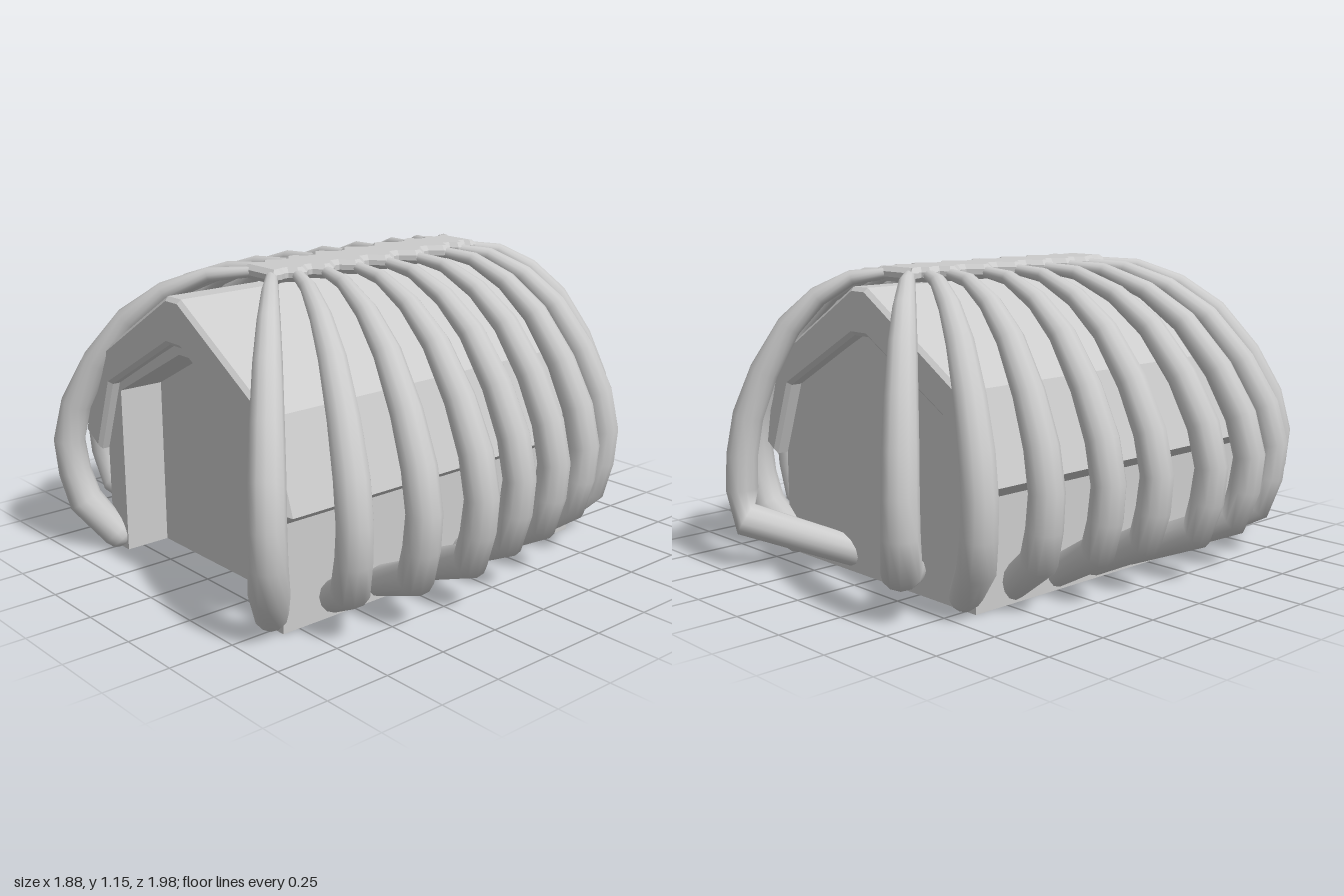
import * as THREE from 'three';

const material = new THREE.MeshStandardMaterial({ color: 0xcccccc });

function addMesh(parent, name, geometry) {
  const mesh = new THREE.Mesh(geometry, material);
  mesh.name = name;
  parent.add(mesh);
  return mesh;
}

// Closed shape from its right half, mirrored in x
function mirroredShape(half) {
  const left = half.map(([x, y]) => [-x, y]).reverse();
  return new THREE.Shape([...half, ...left].map(([x, y]) => new THREE.Vector2(x, y)));
}

function extrudeZ(shape, z0, z1, bevel = 0) {
  const geometry = new THREE.ExtrudeGeometry(shape, {
    depth: z1 - z0 - 2 * bevel, bevelEnabled: bevel > 0, bevelSize: bevel,
    bevelThickness: bevel, bevelOffset: -bevel, bevelSegments: 1,
  });
  return geometry.translate(0, 0, z0 + bevel);
}

// Rib profile: reach (0 at spine, 1 at widest), height, radius
const RIB_PROFILE = [
  [0, 1.135, 0.02], [0.22, 1.12, 0.028], [0.45, 1.05, 0.038], [0.65, 0.94, 0.047],
  [0.83, 0.77, 0.054], [0.95, 0.6, 0.059], [1, 0.45, 0.06], [0.98, 0.32, 0.062], [0.93, 0.2, 0.066],
];

// Rib: spine x, z; widest x, z; foot x; extra outward lean of the lower part
const RIBS = [
  [0.07, -0.53, 0.47, -0.91, 0.14, 0.22],
  [0.08, -0.45, 0.655, -0.725, 0.5, 0],
  [0.09, -0.36, 0.74, -0.5, 0.52, 0],
  [0.1, -0.2, 0.8, -0.26, 0.52, 0],
  [0.1, -0.04, 0.83, -0.04, 0.52, 0],
  [0.1, 0.11, 0.88, 0.205, 0.52, 0],
  [0.09, 0.25, 0.86, 0.46, 0.52, 0],
  [0.08, 0.37, 0.79, 0.705, 0.52, 0],
  [0.06, 0.47, 0.635, 0.945, 0.5, 0],
];

// Sweeps a tapering oval along the profile, in the upright plane of the rib
function ribGeometry([x0, z0, x1, z1, footX, lean], side) {
  const length = Math.hypot(x1 - x0, z1 - z0);
  const dir = new THREE.Vector3(side * (x1 - x0), 0, z1 - z0).divideScalar(length);
  const up = new THREE.Vector3(0, 1, 0);
  const across = dir.clone().cross(up);
  const path = RIB_PROFILE.map(([t, y, r]) =>
    [(t + lean * Math.max(0, 0.45 - y)) * length, y, r]);

  // Rounded foot
  const elbow = path[path.length - 1];
  const foot = [(footX - x0) / (x1 - x0) * length, 0.068];
  const run = Math.hypot(foot[0] - elbow[0], foot[1] - elbow[1]);
  const ux = (foot[0] - elbow[0]) / run, uy = (foot[1] - elbow[1]) / run, r = 0.056;
  for (const [along, size] of [[0, 1], [0.55, 0.83], [0.85, 0.52], [1, 0.04]]) {
    path.push([foot[0] + ux * along * r, foot[1] + uy * along * r, r * size]);
  }

  const sides = 12, positions = [], index = [];
  path.forEach(([s, y, radius], i) => {
    const a = path[Math.max(0, i - 1)], b = path[Math.min(path.length - 1, i + 1)];
    const len = Math.hypot(b[0] - a[0], b[1] - a[1]);
    const tx = (b[0] - a[0]) / len, ty = (b[1] - a[1]) / len;
    for (let j = 0; j < sides; j++) {
      const angle = j / sides * Math.PI * 2;
      const n = radius * Math.cos(angle), w = 1.08 * radius * Math.sin(angle);
      const p = new THREE.Vector3(side * x0, 0, z0)
        .addScaledVector(dir, s - ty * n)
        .addScaledVector(up, y + tx * n)
        .addScaledVector(across, w);
      positions.push(p.x, p.y, p.z);
      if (i < path.length - 1) {
        const k = i * sides + j, m = i * sides + (j + 1) % sides;
        index.push(k, m, k + sides, m, m + sides, k + sides);
      }
    }
  });
  const geometry = new THREE.BufferGeometry();
  geometry.setAttribute('position', new THREE.Float32BufferAttribute(positions, 3));
  geometry.setIndex(index);
  geometry.computeVertexNormals();
  return geometry;
}

// Plate whose edges swell out at every rib
function spineGeometry() {
  const edge = [];
  RIBS.forEach(([x, z], i) => {
    const w = x + 0.035;
    if (i === 0) edge.push([0.08, z - 0.015]);
    edge.push([w, z - 0.02], [w, z + 0.02]);
    if (i < RIBS.length - 1) {
      const gap = RIBS[i + 1][1] - z;
      edge.push([0.085, z + gap * 0.42], [0.085, z + gap * 0.58]);
    }
  });
  // Shape y becomes -z once the plate is laid flat
  const shape = mirroredShape(edge.map(([x, z]) => [x, -z]).reverse());
  const geometry = extrudeZ(shape, 0, 0.055, 0.018);
  return geometry.rotateX(-Math.PI / 2).translate(0, 1.108, 0);
}

export function createModel() {
  const model = new THREE.Group();
  model.name = 'ribbedHut';

  // Hut: solid core with a shallow open porch at the front
  const hut = new THREE.Group();
  hut.name = 'hut';
  model.add(hut);
  const wall = [[0.55, 0.012], [0.55, 0.43], [0.45, 0.7], [0.035, 0.925]];
  const porchZ = 0.64;
  addMesh(hut, 'hutBody', extrudeZ(mirroredShape(wall), -0.65, porchZ));
  const porch = [
    [0.44, 0.012], ...wall, ...wall.slice().reverse().map(([x, y]) => [-x, y]),
    [-0.44, 0.012], [-0.44, 0.665], [-0.03, 0.885], [0.03, 0.885], [0.44, 0.665],
  ].map(([x, y]) => new THREE.Vector2(x, y));
  addMesh(hut, 'porchFrame', extrudeZ(new THREE.Shape(porch), porchZ, 0.82));

  // Thick angular roof shell
  const roof = mirroredShape([
    [0.04, 0.925], [0.445, 0.695], [0.55, 0.41], [0.65, 0.47], [0.54, 0.79], [0.04, 1.1],
  ]);
  addMesh(hut, 'roof', extrudeZ(roof, -0.71, 0.865, 0.015));

  // Spine and paired ribs
  addMesh(model, 'spine', spineGeometry());
  const ribs = new THREE.Group();
  ribs.name = 'ribs';
  model.add(ribs);
  RIBS.forEach((rib, i) => {
    addMesh(ribs, `leftRib${i + 1}`, ribGeometry(rib, 1));
    addMesh(ribs, `rightRib${i + 1}`, ribGeometry(rib, -1));
  });
  return model;
}
